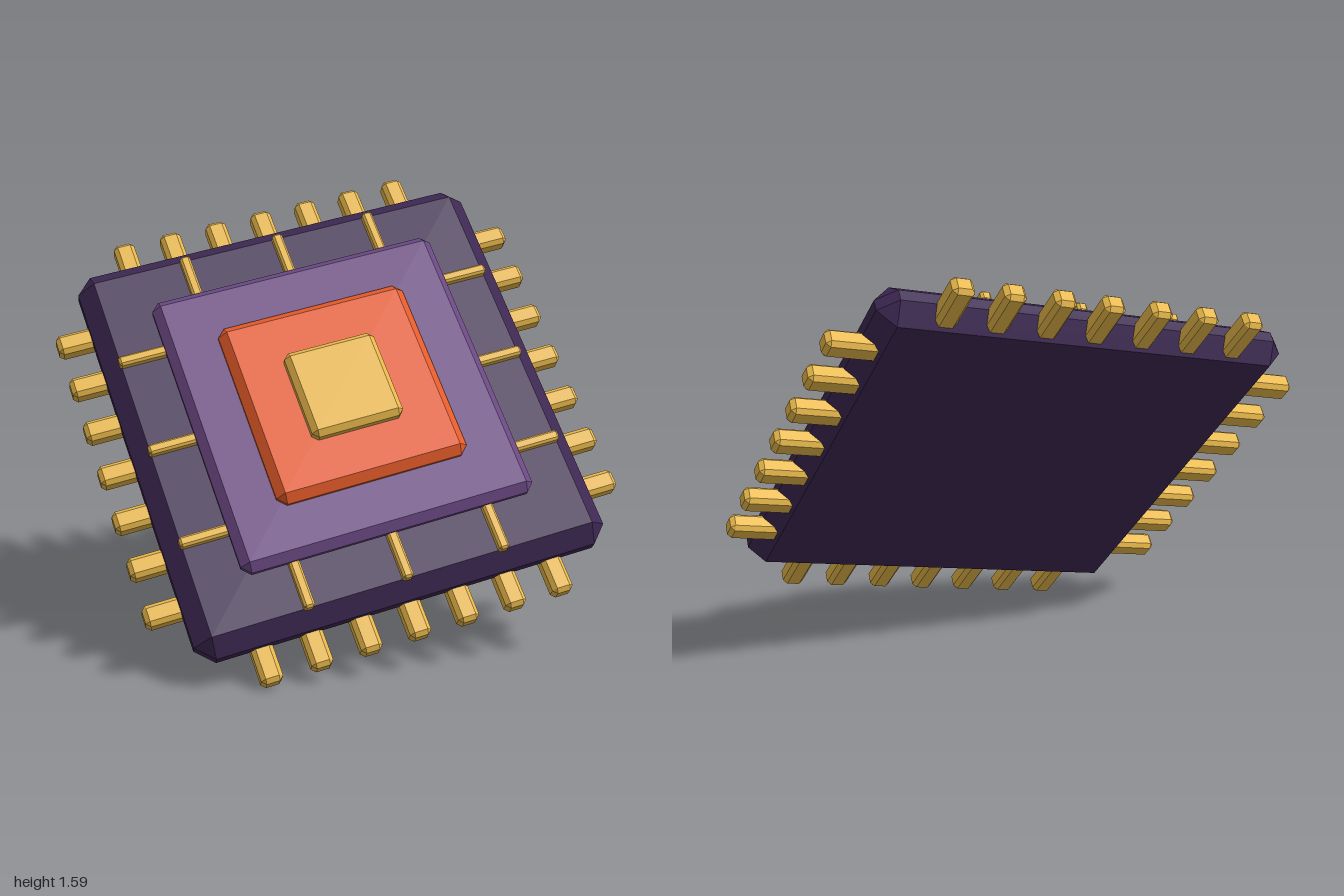
import * as THREE from 'three';
import { ConvexGeometry } from 'three/addons/geometries/ConvexGeometry.js';

const material = (color) => new THREE.MeshStandardMaterial({ color, flatShading: true });

// Box with every edge cut at 45 degrees
function chamferBox(w, h, d, c) {
  const points = [];
  const [x, y, z] = [w / 2, h / 2, d / 2];
  for (const i of [-1, 1]) for (const j of [-1, 1]) for (const k of [-1, 1]) {
    points.push(
      new THREE.Vector3(i * x, j * (y - c), k * (z - c)),
      new THREE.Vector3(i * (x - c), j * y, k * (z - c)),
      new THREE.Vector3(i * (x - c), j * (y - c), k * z));
  }
  return new ConvexGeometry(points);
}

export function createModel() {
  const model = new THREE.Group();
  const chip = new THREE.Group();
  chip.name = 'chip';
  model.add(chip);

  const gold = material(0xe8b84a);
  const add = (parent, name, geometry, mat, x, y, z) => {
    const mesh = new THREE.Mesh(geometry, mat);
    mesh.name = name;
    mesh.position.set(x, y, z);
    parent.add(mesh);
  };

  // Stacked square plates: name, side, bottom, top, chamfer, material
  const plates = [
    ['board', 1.51, -0.08, 0.08, 0.06, material(0x3d2852)],
    ['packagePlate', 1.07, 0.07, 0.147, 0.03, material(0x6b4984)],
    ['heatSpreader', 0.7, 0.115, 0.188, 0.03, material(0xe65c2a)],
    ['core', 0.335, 0.165, 0.232, 0.02, gold],
  ];
  for (const [name, side, bottom, top, c, mat] of plates) {
    add(chip, name, chamferBox(side, side, top - bottom, c), mat, 0, 0, (bottom + top) / 2);
  }

  // Pins and traces repeated on the four sides
  const pinGeometry = chamferBox(0.077, 0.22, 0.07, 0.015);
  const traceGeometry = chamferBox(0.038, 0.22, 0.04, 0.008);
  for (let s = 0; s < 4; s++) {
    const side = new THREE.Group();
    side.name = 'contactSide';
    side.rotation.z = s * Math.PI / 2;
    for (let i = -3; i <= 3; i++) add(side, 'pin', pinGeometry, gold, i * 0.178, 0.768, -0.035);
    for (let i = -1; i <= 1; i++) add(side, 'trace', traceGeometry, gold, i * 0.355, 0.592, 0.09);
    chip.add(side);
  }

  // Tilt the chip
  const u = new THREE.Vector3(0.863, 0.2, -0.464).normalize();
  const n = u.clone().cross(new THREE.Vector3(-0.435, 0.766, -0.473)).normalize();
  const v = n.clone().cross(u);
  chip.quaternion.setFromRotationMatrix(new THREE.Matrix4().makeBasis(u, v, n));
  chip.position.set(0.008, 0.828, 0.012);
  return model;
}
